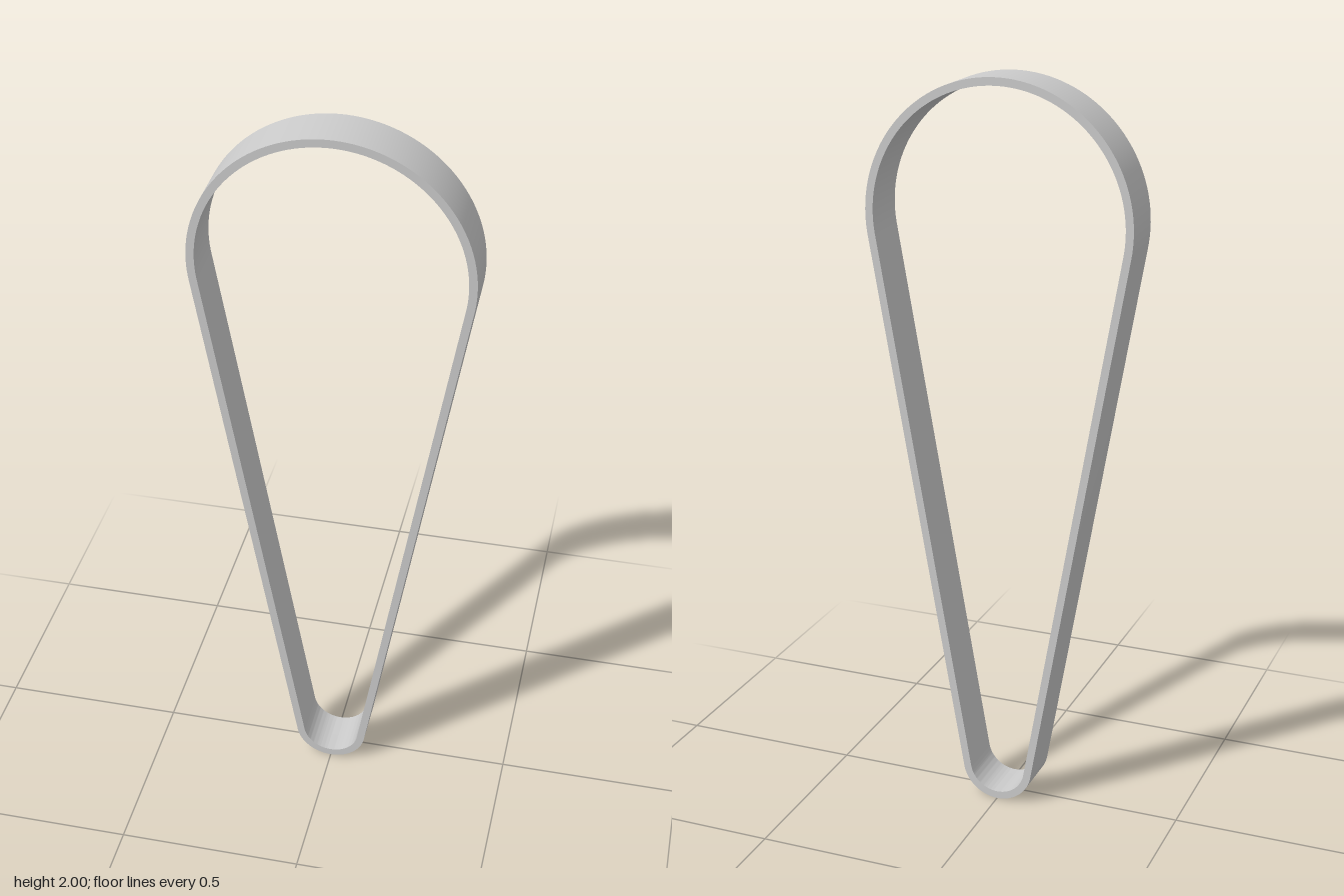
import * as THREE from 'three';
import { toCreasedNormals } from 'three/addons/utils/BufferGeometryUtils.js';

const TOP_R = 0.363, BOTTOM_R = 0.1;   // outer radii of the two bends
const THICKNESS = 0.021, WIDTH = 0.136;
const TOP_Y = 2 - TOP_R, BOTTOM_Y = BOTTOM_R;

// Two arcs joined by their common tangents, inset by a distance
function loopOutline(path, inset) {
  const a = Math.asin((TOP_R - BOTTOM_R) / (TOP_Y - BOTTOM_Y));
  path.absarc(0, TOP_Y, TOP_R - inset, -a, Math.PI + a, false);
  path.absarc(0, BOTTOM_Y, BOTTOM_R - inset, Math.PI + a, 2 * Math.PI - a, false);
  path.closePath();
  return path;
}

export function createModel() {
  const group = new THREE.Group();
  group.name = 'driveBelt';

  // Flat band: outer outline with the inner outline cut out
  const shape = loopOutline(new THREE.Shape(), 0);
  shape.holes.push(loopOutline(new THREE.Path(), THICKNESS));
  const geometry = new THREE.ExtrudeGeometry(shape, {
    depth: WIDTH, bevelEnabled: false, curveSegments: 48,
  });
  geometry.translate(0, 0, -WIDTH / 2);

  const belt = new THREE.Mesh(
    toCreasedNormals(geometry, Math.PI / 6),
    new THREE.MeshStandardMaterial({ color: 0xcccccc }),
  );
  belt.name = 'beltBand';
  group.add(belt);
  return group;
}
